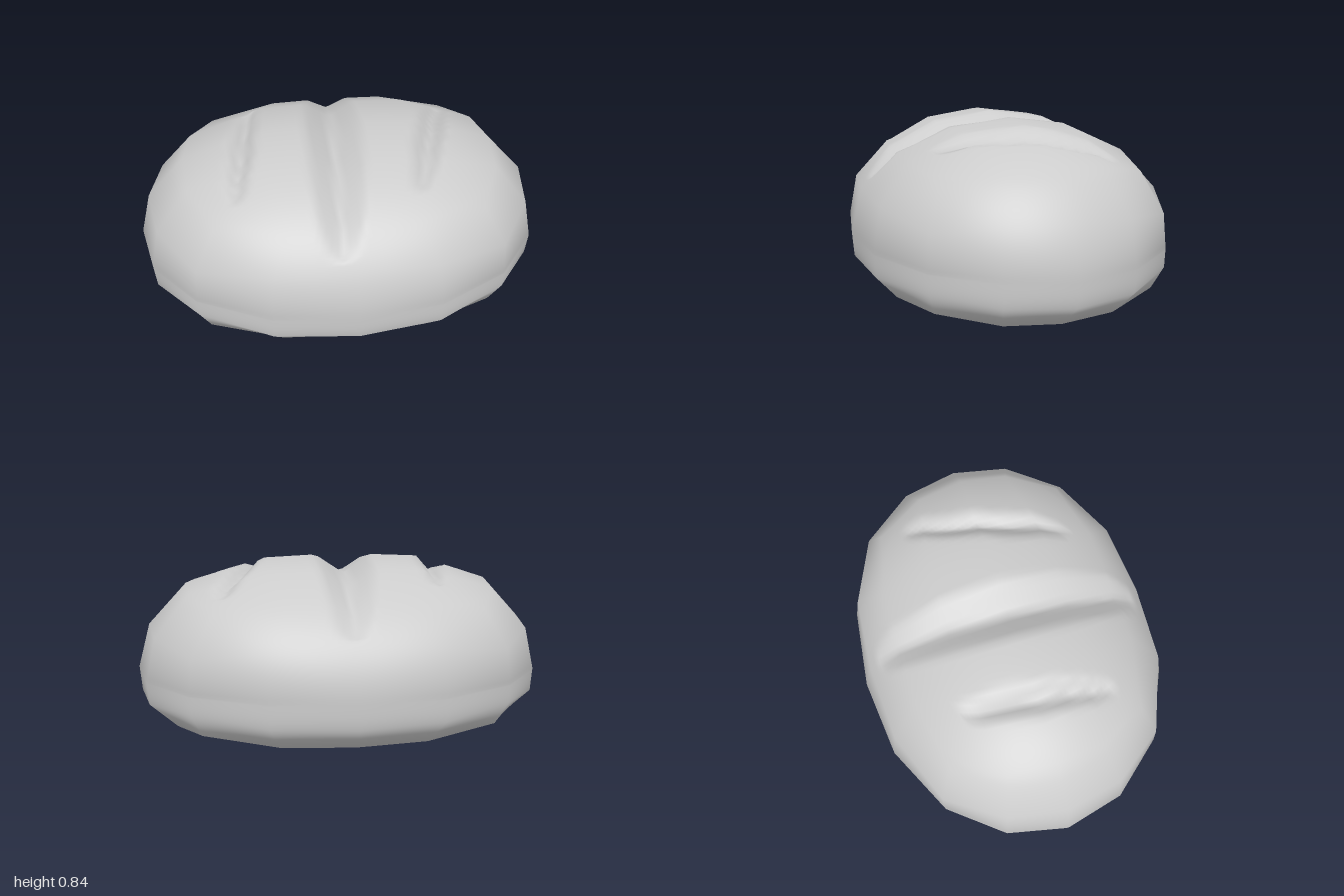
import * as THREE from 'three';
import { mergeVertices } from 'three/addons/utils/BufferGeometryUtils.js';

const HALF_X = 1, HALF_Z = 0.757, WAIST = 0.295, CROWN = 0.55;
const FACETS = 4;      // broad facets along each cube edge
const FINE = 12;       // subdivisions of a facet, so the cuts stay crisp

// Score marks across the crust: back end, front end [x, z], half width, depth
const CUTS = [
  { a: [0.01, -0.66], b: [-0.06, 0.66], w: 0.14, d: 0.1 },
  { a: [-0.43, -0.36], b: [-0.52, 0.38], w: 0.075, d: 0.06 },
  { a: [0.59, -0.36], b: [0.33, 0.42], w: 0.085, d: 0.065 },
];

// Cube point -> loaf surface: rounded dome above the waist, flat base below it
function loafPoint(q) {
  const d = new THREE.Vector3(...q.map((c) => Math.tan(c * Math.PI / 4))).normalize();
  const up = Math.max(d.y, 0);
  const ex = 2.3 + 0.7 * Math.min(1, up * 1.6);
  const level = (t) => {
    const x = Math.abs(t * d.x), y = Math.abs(t * d.y), z = Math.abs(t * d.z);
    const r = x ** ex + z * z;
    return d.y >= 0 ? r + y * y : r ** 1.8 + y ** 3.6;
  };
  let lo = 0.9, hi = 1.6;
  for (let i = 0; i < 24; i++) {
    const mid = (lo + hi) / 2;
    if (level(mid) < 1) lo = mid; else hi = mid;
  }
  return new THREE.Vector3(
    d.x * lo * HALF_X,
    WAIST + d.y * lo * (d.y >= 0 ? CROWN : WAIST),
    d.z * lo * HALF_Z
  );
}

// Blend the surface linearly between facet corners
function facetPoint(q) {
  const step = 2 / FACETS;
  const base = q.map((c) => Math.floor((c + 1) / step + 1e-5));
  const frac = q.map((c, i) => {
    const f = (c + 1) / step - base[i];
    return Math.abs(f) < 1e-4 ? 0 : f;
  });
  const out = new THREE.Vector3();
  for (let corner = 0; corner < 8; corner++) {
    const bits = [corner & 1, (corner >> 1) & 1, corner >> 2];
    const weight = bits.reduce((w, b, i) => w * (b ? frac[i] : 1 - frac[i]), 1);
    if (weight > 0) {
      out.addScaledVector(loafPoint(bits.map((b, i) => (base[i] + b) * step - 1)), weight);
    }
  }
  return out;
}

// Sink the crust into tapered V-shaped grooves
function scoreCrust(p) {
  if (p.y < 0.45) return p;
  let drop = 0;
  for (const { a, b, w, d } of CUTS) {
    const dx = b[0] - a[0], dz = b[1] - a[1], len = Math.hypot(dx, dz);
    const along = ((p.x - a[0]) * dx + (p.z - a[1]) * dz) / (len * len);
    if (along <= 0 || along >= 1) continue;
    const taper = Math.sqrt(Math.sin(Math.PI * along));
    const off = Math.abs((p.x - a[0]) * dz - (p.z - a[1]) * dx) / len;
    drop = Math.max(drop, d * taper * Math.max(0, 1 - off / (w * (0.4 + 0.6 * taper))));
  }
  p.y -= drop;
  return p;
}

function loafGeometry() {
  const n = FACETS * FINE;
  let geo = new THREE.BoxGeometry(2, 2, 2, n, n, n);
  geo.deleteAttribute('normal');
  geo.deleteAttribute('uv');
  geo.clearGroups();
  geo = mergeVertices(geo, 1e-4);
  const pos = geo.attributes.position;
  const cube = [];
  for (let i = 0; i < pos.count; i++) cube.push([pos.getX(i), pos.getY(i), pos.getZ(i)]);
  const shape = (fn) => cube.forEach((q, i) => {
    const p = scoreCrust(fn(q));
    pos.setXYZ(i, p.x, p.y, p.z);
  });
  // Normals come from the rounded form, positions from the faceted one
  shape(loafPoint);
  geo.computeVertexNormals();
  shape(facetPoint);
  return geo;
}

export function createModel() {
  const group = new THREE.Group();
  group.name = 'breadLoaf';
  const crust = new THREE.Mesh(
    loafGeometry(),
    new THREE.MeshStandardMaterial({ color: 0xcccccc })
  );
  crust.name = 'scoredCrust';
  group.add(crust);
  return group;
}
